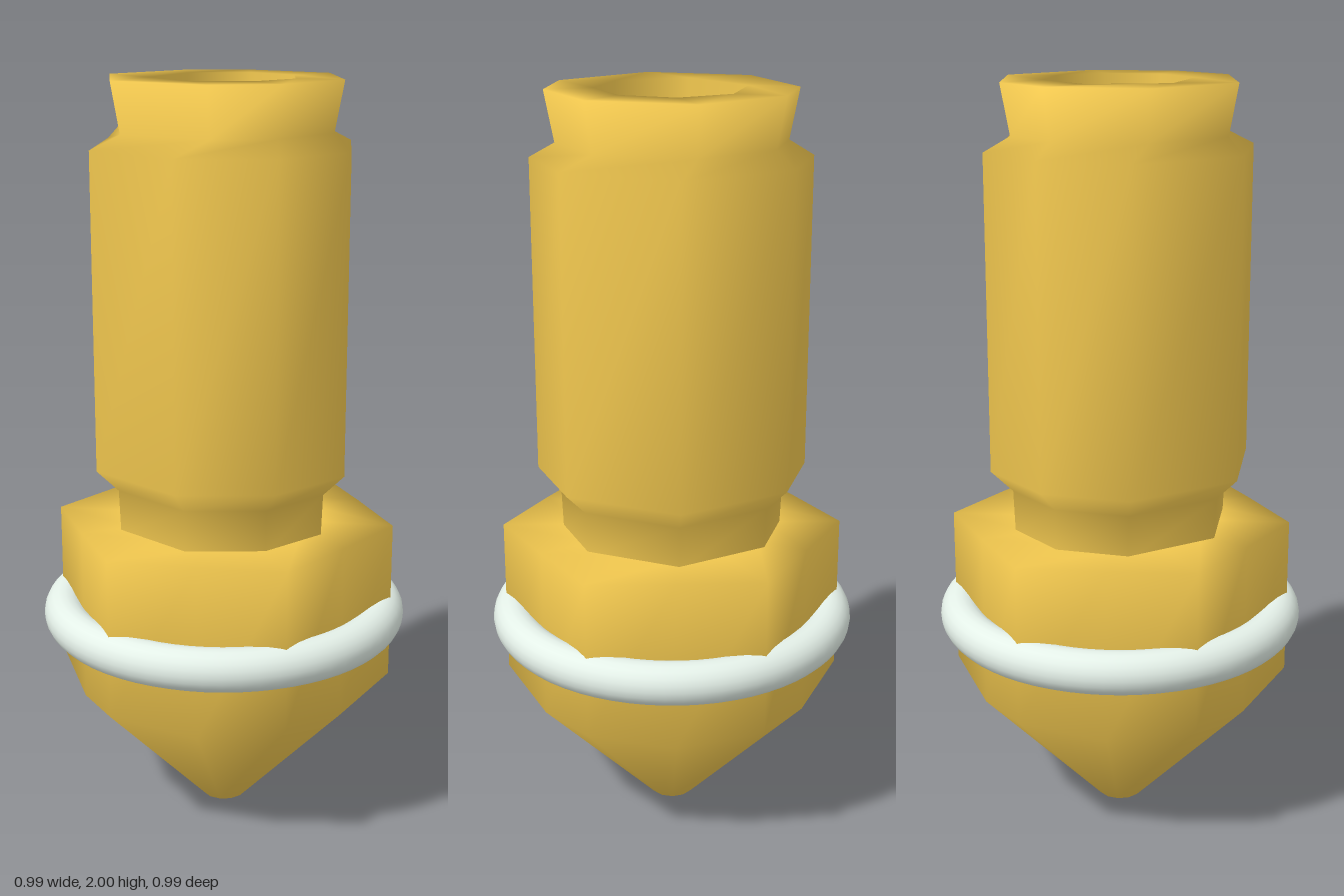
import * as THREE from 'three';
import { mergeVertices } from 'three/addons/utils/BufferGeometryUtils.js';

const brass = new THREE.MeshStandardMaterial({ color: 0xf2c84f });
const pale = new THREE.MeshStandardMaterial({ color: 0xe4f0e8 });

// One cross-section: a point per angle (degrees, from +x towards +z)
function loop(angles, radius, height) {
  const pick = (v, i) => (Array.isArray(v) ? v[i % v.length] : v);
  return angles.map((deg, i) => {
    const a = THREE.MathUtils.degToRad(deg), r = pick(radius, i);
    return [r * Math.cos(a), pick(height, i), r * Math.sin(a)];
  });
}

// Joins successive cross-sections with a smooth skin
function loft(name, loops) {
  const n = loops[0].length, index = [];
  for (let k = 0; k < loops.length - 1; k++) {
    for (let i = 0; i < n; i++) {
      const a = k * n + i, b = k * n + (i + 1) % n;
      index.push(a, a + n, b, b, a + n, b + n);
    }
  }
  let g = new THREE.BufferGeometry();
  g.setAttribute('position', new THREE.Float32BufferAttribute(loops.flat(2), 3));
  g.setIndex(index);
  g = mergeVertices(g);
  g.computeVertexNormals();
  const mesh = new THREE.Mesh(g, brass);
  mesh.name = name;
  return mesh;
}

export function createModel() {
  const model = new THREE.Group();
  model.name = 'nozzle';

  // Hexagonal collar with the cone cut up into its flats
  const hex = Array.from({ length: 12 }, (_, i) => i * 30);
  const hexRadius = [0.46, 0.402];
  model.add(loft('hexCollarAndTip', [
    loop(hex, 0.025, 0),
    loop(hex, 0.06, 0),
    loop(hex, hexRadius, [0.4, 0.36]),
    loop(hex, hexRadius, 0.83),
    loop(hex, 0.26, 0.83),
  ]));

  // Slightly uneven eight-sided barrel, turning over the rim into the bore
  const barrel = [-99, -61, -24, 28, 80, 119, 160, 208];
  const rim = [-108, -60, -28, 20, 72, 114, 147, 200];
  const bore = [-136, -69, -18, 28, 73, 118, 163, 224];
  model.add(loft('barrelAndBore', [
    loop(barrel, 0.295, 0.82),
    loop(barrel, 0.3, 0.94),
    loop(barrel, 0.36, 1.0),
    loop(barrel, 0.36, 1.83),
    loop(rim, 0.295, 1.87),
    loop(rim, 0.32, 2.0),
    loop(bore, 0.195, 2.0),
    loop(bore, 0.195, 0.45),
    loop(bore, 0.025, 0.14),
    loop(bore, 0.025, 0),
  ]));

  // Round ring seated around the collar
  const ring = new THREE.Mesh(new THREE.TorusGeometry(0.438, 0.057, 20, 64), pale);
  ring.name = 'sealRing';
  ring.rotation.x = Math.PI / 2;
  ring.position.y = 0.572;
  model.add(ring);

  return model;
}
